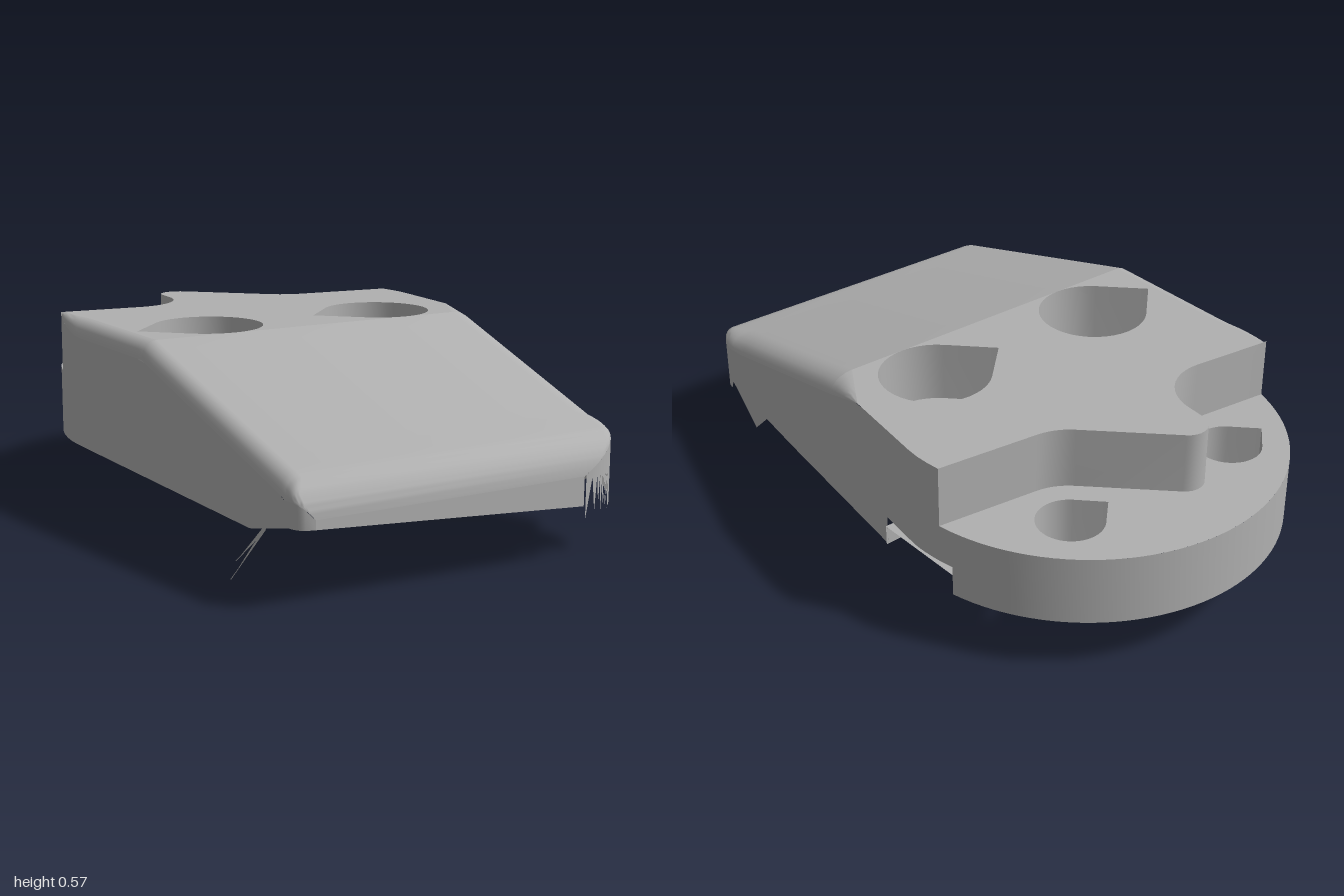
import * as THREE from 'three';
import { toCreasedNormals } from 'three/addons/utils/BufferGeometryUtils.js';

const BOTTOM = 0.17, LEDGE = 0.385, DECK = 0.575, RADIUS = 0.62, ARC_Z = -0.38;
const STEP_L = -0.55, STEP_R = -0.485;
const clamp = THREE.MathUtils.clamp;

// Sheet through rows of [x, y, z] points
function sheet(rows) {
  const n = rows[0].length, index = [];
  for (let i = 0; i < rows.length - 1; i++)
    for (let j = 0; j < n - 1; j++) {
      const a = i * n + j, b = a + n;
      index.push(a, b, a + 1, b, b + 1, a + 1);
    }
  const g = new THREE.BufferGeometry();
  g.setAttribute('position', new THREE.Float32BufferAttribute(rows.flat(2), 3));
  g.setIndex(index);
  return toCreasedNormals(g, 0.6);
}

// Vertical wall along a path of [x, z] points
const wall = (path, y0, y1) => sheet(path.map(([x, z]) => [[x, y0, z], [x, y1, z]]));

// Horizontal plate at height y, with holes
function plate(path, y, holes = []) {
  const vec = ([x, z]) => new THREE.Vector2(x, -z);
  const s = new THREE.Shape(path.map(vec));
  holes.forEach(h => s.holes.push(new THREE.Path(h.map(vec))));
  return new THREE.ShapeGeometry(s).rotateX(-Math.PI / 2).translate(0, y, 0);
}

// Closed teardrop with its point towards -x
function teardrop(cx, cz, r) {
  const pts = [[cx - r * Math.SQRT2, cz]];
  for (let i = 0; i <= 30; i++) {
    const a = Math.PI * (-0.75 + 1.5 * i / 30);
    pts.push([cx + r * Math.cos(a), cz + r * Math.sin(a)]);
  }
  pts.push(pts[0]);
  return pts;
}

// Plan outline of each side at a given z
const arcX = z => Math.sqrt(Math.max(0, RADIUS ** 2 - (z - ARC_Z) ** 2));
function leftX(z) {
  if (z < ARC_Z) return -arcX(z);
  return z > 0.95 ? -0.57 - Math.sqrt(Math.max(0, 0.0025 - (z - 0.95) ** 2)) : -RADIUS;
}
function rightX(z) {
  if (z < ARC_Z) return arcX(z);
  return z > 0.8 ? 0.302 + Math.sqrt(Math.max(0, 0.04 - (z - 0.8) ** 2))
    : THREE.MathUtils.lerp(RADIUS, 0.502, (z - ARC_Z) / (0.8 - ARC_Z));
}

// Top height and the share of edge rounding at a given z
function topY(z) {
  const nose = z > 0.9 ? 0.08 * (1 - Math.sqrt(Math.max(0, 1 - ((z - 0.9) / 0.1) ** 2))) : 0;
  return Math.min(DECK, DECK - 0.277 * (z - 0.1)) - nose;
}
const leftRound = z => z > 0.93 ? clamp((1 - z) / 0.07, 0, 1) : clamp(0.3 + 0.7 * (z - STEP_L) / 0.17, 0, 1);
const rightRound = z => z > 0.8 ? clamp((1 - z) / 0.2, 0, 1) : clamp((z + 0.07) / 0.17, 0, 1);

// Rounded edge from wall to top
function edge(z, left) {
  const k = left ? leftRound(z) : rightRound(z), x = left ? leftX(z) : rightX(z);
  const w = (left ? 0.05 : -0.08) * k, h = 0.055 * k, pts = [];
  for (let i = 0; i <= 6; i++) {
    const a = i / 6 * Math.PI / 2;
    pts.push([x + w * (1 - Math.cos(a)), topY(z) - h * (1 - Math.sin(a)), z]);
  }
  return pts;
}
const range = (a, b, n) => Array.from({ length: n + 1 }, (_, i) => a + (b - a) * i / n);

// Broken lower rim of the right wall: [z, y]
const RIM = [[-0.22, 0.17], [0.4, 0.175], [0.58, 0.18], [0.67, 0.1], [0.83, 0.2], [0.84, 0.17], [0.97, 0.13], [1, 0.16]];
function rimY(z) {
  for (let i = 0; i < RIM.length - 1; i++) {
    const [a, ya] = RIM[i], [b, yb] = RIM[i + 1];
    if (z >= a && z <= b) return ya + (yb - ya) * (z - a) / (b - a);
  }
  return BOTTOM;
}

export function createModel() {
  const group = new THREE.Group();
  const grey = new THREE.MeshStandardMaterial({ color: 0xb0b0b0, side: THREE.DoubleSide });
  grey.name = 'grey';
  const add = (name, geometry) => {
    const m = new THREE.Mesh(geometry, grey);
    m.name = name;
    group.add(m);
  };

  // Step between the low rear ledge and the deck
  const step = [[leftX(STEP_L), STEP_L], [-0.33, -0.521]];
  range(Math.PI / 2, 0, 10).forEach(a => step.push([-0.31 + 0.17 * Math.cos(a), -0.69 + 0.17 * Math.sin(a)]));
  range(Math.PI, Math.PI * 1.75, 10).forEach(a => step.push([-0.075 + 0.062 * Math.cos(a), -0.74 + 0.062 * Math.sin(a)]));
  range(Math.PI * 0.75, Math.PI * 0.53, 6).forEach(a => step.push([0.31 + 0.17 * Math.cos(a), -0.69 + 0.17 * Math.sin(a)]));
  step.push([rightX(STEP_R), STEP_R]);
  add('stepWall', wall(step, LEDGE, DECK));

  // Rear ledge with two teardrop holes
  const aL = Math.atan2(STEP_L - ARC_Z, leftX(STEP_L)), aR = Math.atan2(STEP_R - ARC_Z, rightX(STEP_R));
  const rearArc = range(aR, aL, 48).map(a => [RADIUS * Math.cos(a), ARC_Z + RADIUS * Math.sin(a)]);
  const sides = [-0.31, 0.31];
  add('rearLedge', plate([...step, ...rearArc.slice(1, -1)], LEDGE, sides.map(x => teardrop(x, -0.69, 0.1).slice(0, -1))));

  // Rear wall, with the start of the cable notch on the right
  const notchEnd = -0.53, aN = Math.asin((notchEnd - ARC_Z) / RADIUS);
  const rearWall = range(aN, aL, 48).map(a => [RADIUS * Math.cos(a), ARC_Z + RADIUS * Math.sin(a)]);
  add('rearWall', wall(rearWall, BOTTOM, LEDGE));
  add('notchRearWall', wall(range(notchEnd, STEP_R, 4).map(z => [rightX(z), z]), 0.265, LEDGE));
  add('notchTopWall', wall(range(STEP_R, -0.22, 12).map(z => [rightX(z), z]), 0.265, DECK));

  // Right wall with its ragged rim
  const rightZ = [...range(-0.22, 0.58, 20), 0.67, 0.75, 0.83, 0.84, ...range(0.86, 0.96, 6)];
  add('rightWall', sheet(rightZ.map(z => [[rightX(z), rimY(z), z], edge(z, false)[0]])));
  const ragged = range(0.96, 0.9999, 18).map((z, i) => {
    const bottom = i % 2 ? 0.24 : 0.12 + 0.02 * (i % 3);
    return [[rightX(z), bottom, z], edge(z, false)[0]];
  });
  add('raggedCorner', sheet(ragged));

  // Left wall and front lip
  const leftZ = [...range(STEP_L, 0.9, 28), ...range(0.93, 1, 9)];
  add('leftWall', sheet(leftZ.map(z => [[leftX(z), BOTTOM + 0.05 * clamp((z - 0.75) / 0.2, 0, 1), z], edge(z, true)[0]])));
  add('frontLip', sheet([[[-0.57, 0.22, 1], [-0.57, topY(1), 1]], [[0.302, 0.16, 1], [0.302, topY(1), 1]]]));

  // Deck with two large teardrop recesses
  const deckLeft = range(0.1, STEP_L, 16).map(z => { const p = edge(z, true)[6]; return [p[0], z]; });
  const deckRight = [...range(STEP_R, -0.07, 10), 0.1].map(z => [edge(z, false)[6][0], z]);
  add('deck', plate([...deckLeft, ...step.slice(1, -1), ...deckRight], DECK, sides.map(x => teardrop(x, -0.07, 0.17).slice(0, -1))));
  add('deckLeftEdge', sheet(range(STEP_L, 0.1, 16).map(z => edge(z, true))));
  add('deckRightEdge', sheet(range(-0.07, 0.1, 6).map(z => edge(z, false))));

  // Sloping front with rounded edges and nose
  const slopeZ = [...range(0.1, 0.8, 10), ...range(0.82, 0.9, 4), ...range(0.91, 0.98, 7), 0.985, 0.99, 0.995, 0.998, 1];
  add('slopingFront', sheet(slopeZ.map(z => [...edge(z, true), ...edge(z, false).reverse()])));

  // Screw tubes and recesses
  for (const x of sides) {
    add('rearScrewTube', wall(teardrop(x, -0.69, 0.1), BOTTOM, LEDGE));
    add('frontScrewTube', wall(teardrop(x, -0.07, 0.1), BOTTOM, LEDGE));
    add('recessWall', wall(teardrop(x, -0.07, 0.17), LEDGE, DECK));
    add('recessFloor', plate(teardrop(x, -0.07, 0.17).slice(0, -1), LEDGE, [teardrop(x, -0.07, 0.1).slice(0, -1)]));
  }

  // Cable pocket under the body, opening at the notch
  const pocket = [[0.61, -0.22], [0.16, -0.2], [0.02, -0.06], [-0.15, -0.12], [-0.4, -0.36],
    [-0.1, -0.6], [0.03, -0.62], [0.18, -0.53], [0.6, -0.53]];
  add('pocketRoof', plate(pocket, 0.235));
  add('pocketWall', wall(pocket, BOTTOM, 0.235));

  // Thin slivers hanging from the left rim
  for (const [z, y] of [[0.64, 0], [0.67, 0.06]])
    add('sliver', sheet([[[-0.62, 0.21, 0.84], [-0.62, 0.185, 0.83]], [[-0.62, y, z], [-0.62, y, z - 0.004]]]));

  return group;
}
